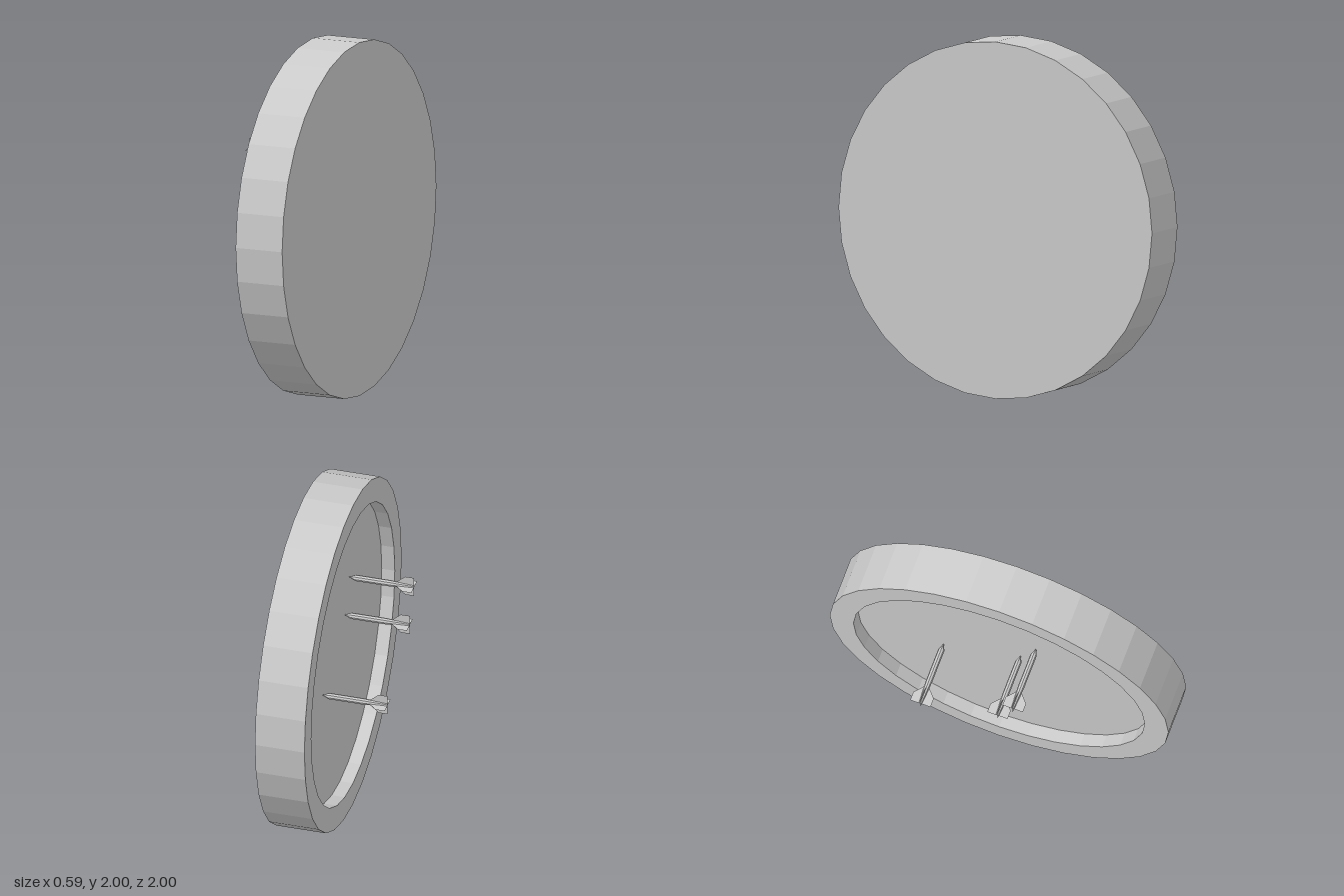
import * as THREE from 'three';

const material = new THREE.MeshStandardMaterial({ color: 0xcccccc, flatShading: true });
const thinMaterial = new THREE.MeshStandardMaterial({ color: 0xcccccc, flatShading: true, side: THREE.DoubleSide });

// Round board with a raised rim; the lathe axis becomes -x
function createBoard() {
  const profile = [[0, -0.285], [1, -0.285], [1, 0], [0.86, 0], [0.86, -0.075], [0, -0.075]]
    .map(([r, h]) => new THREE.Vector2(r, h));
  const geometry = new THREE.LatheGeometry(profile, 32);
  geometry.rotateZ(Math.PI / 2);
  const board = new THREE.Mesh(geometry, material);
  board.name = 'board';
  board.position.set(0.002, 1, 0);
  return board;
}

// Dart lying along x: point towards +x, fins at the -x end
function createDart() {
  const dart = new THREE.Group();
  dart.name = 'dart';

  const shaftProfile = [[0, -0.295], [0.009, -0.295], [0.018, -0.16], [0.018, 0.04], [0, 0.08]]
    .map(([r, h]) => new THREE.Vector2(r, h));
  const shaftGeometry = new THREE.LatheGeometry(shaftProfile, 8);
  shaftGeometry.rotateZ(-Math.PI / 2);
  const shaft = new THREE.Mesh(shaftGeometry, material);
  shaft.name = 'shaft';
  dart.add(shaft);

  // Two crossed flight blades
  const outline = [[-0.297, -0.06], [-0.245, -0.06], [-0.195, -0.016],
    [-0.195, 0.016], [-0.245, 0.06], [-0.297, 0.06]].map(([x, y]) => new THREE.Vector2(x, y));
  const bladeGeometry = new THREE.ShapeGeometry(new THREE.Shape(outline));
  for (const angle of [0, Math.PI / 2]) {
    const blade = new THREE.Mesh(bladeGeometry, thinMaterial);
    blade.name = 'flight';
    blade.rotation.x = angle;
    dart.add(blade);
  }
  return dart;
}

export function createModel() {
  const model = new THREE.Group();
  model.name = 'dartboard';
  model.add(createBoard());
  for (const [y, z] of [[1.385, 0.19], [1.19, 0.1], [0.95, -0.355]]) {
    const dart = createDart();
    dart.position.set(0, y, z);
    model.add(dart);
  }
  // The whole board hangs very slightly turned
  model.rotation.y = 0.006;
  return model;
}
